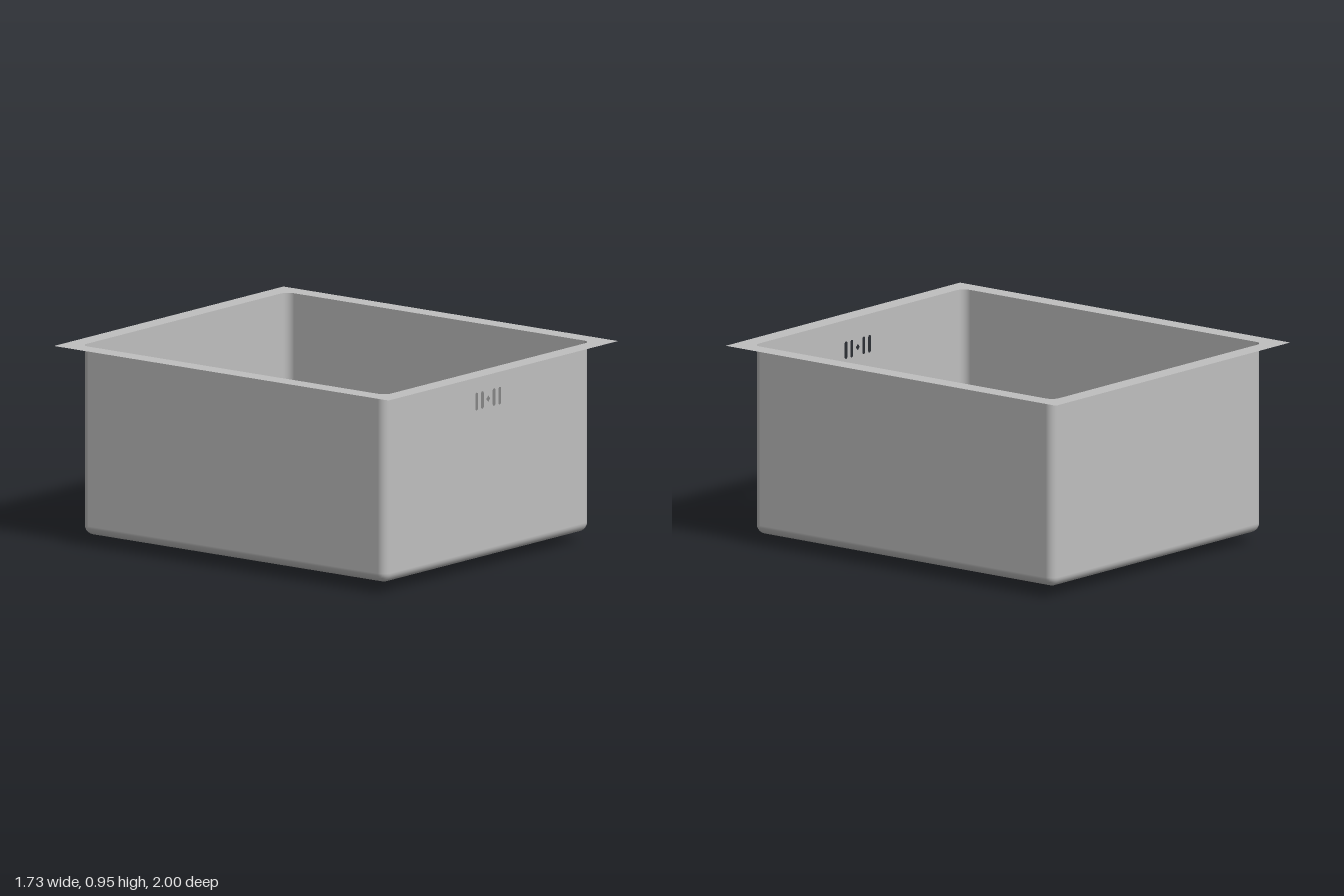
import * as THREE from 'three';

const W = 0.775, D = 0.91;           // basin half width and half depth
const TOP = 0.955, BOTTOM = 0.05;    // rim and floor heights
const R = 0.045;                     // corner and floor fillet radius
const DRAIN_Z = 0.36, DRAIN_R = 0.217, DRAIN_SIDES = 14;

const steel = new THREE.MeshStandardMaterial({ color: 0xbfbfbf, side: THREE.DoubleSide });
steel.name = 'brushedSteel';

// Rounded rectangle outline, as points running from the +x +y corner
function cornerPoints(radius, steps = 6) {
  const pts = [];
  for (let c = 0; c < 4; c++) {
    const sx = c === 0 || c === 3 ? 1 : -1, sy = c < 2 ? 1 : -1;
    for (let i = 0; i <= steps; i++) {
      const a = (c + i / steps) * Math.PI / 2;
      pts.push({ x: sx * (W - R) + radius * Math.cos(a), z: sy * (D - R) + radius * Math.sin(a), a });
    }
  }
  return pts;
}

function rectShape(x0, y0, x1, y1) {
  return new THREE.Shape([[x0, y0], [x1, y0], [x1, y1], [x0, y1]].map(p => new THREE.Vector2(...p)));
}

function polygonPath(radius, sides, cx, cy) {
  const pts = [];
  for (let i = 0; i < sides; i++) {
    const a = i / sides * Math.PI * 2;
    pts.push(new THREE.Vector2(cx + radius * Math.sin(a), cy + radius * Math.cos(a)));
  }
  return pts;
}

// Basin sides: stacked rounded rectangles, leaving the flat front panel open
function basinSides() {
  const STEPS = 6, position = [], normal = [], index = [];
  const levels = [];
  for (let i = 0; i <= STEPS; i++) {
    const phi = (1 - i / STEPS) * Math.PI / 2;
    levels.push({ phi, y: BOTTOM + R - R * Math.sin(phi) });
  }
  levels.push({ phi: 0, y: TOP });
  for (const { phi, y } of levels) {
    for (const p of cornerPoints(R * Math.cos(phi))) {
      position.push(p.x, y, p.z);
      normal.push(Math.cos(p.a) * Math.cos(phi), -Math.sin(phi), Math.sin(p.a) * Math.cos(phi));
    }
  }
  const n = position.length / 3 / levels.length;
  for (let j = 0; j < levels.length - 1; j++) {
    for (let i = 0; i < n; i++) {
      if (j === levels.length - 2 && i === 6) continue;   // front panel opening
      const a = j * n + i, b = j * n + (i + 1) % n;
      index.push(a, a + n, b, b, a + n, b + n);
    }
  }
  const g = new THREE.BufferGeometry();
  g.setAttribute('position', new THREE.Float32BufferAttribute(position, 3));
  g.setAttribute('normal', new THREE.Float32BufferAttribute(normal, 3));
  g.setIndex(index);
  return g;
}

// Front panel pierced by the overflow slots
function frontPanel() {
  const shape = rectShape(-(W - R), BOTTOM + R, W - R, TOP);
  for (const x of [-0.087, -0.044, 0.044, 0.087]) {
    const slot = new THREE.Path(), r = 0.0105;
    slot.absarc(x, 0.842, r, 0, Math.PI);
    slot.absarc(x, 0.779, r, Math.PI, Math.PI * 2);
    slot.closePath();
    shape.holes.push(slot);
  }
  shape.holes.push(new THREE.Path(polygonPath(0.015, 4, 0, 0.81)));
  return new THREE.ShapeGeometry(shape, 6).translate(0, 0, D);
}

// Horizontal sheet, with the shape's y axis laid along z
function sheet(shape, y) {
  return new THREE.ShapeGeometry(shape, 8).rotateX(Math.PI / 2).translate(0, y, 0);
}

export function createModel() {
  const model = new THREE.Group();
  model.name = 'sink';
  const add = (name, geometry, parent = model) => {
    const mesh = new THREE.Mesh(geometry, steel);
    mesh.name = name;
    parent.add(mesh);
    return mesh;
  };
  const drainHole = () => new THREE.Path(polygonPath(DRAIN_R, DRAIN_SIDES, 0, DRAIN_Z));

  // Flat rim around the opening
  const rim = rectShape(-0.865, -1, 0.865, 1);
  rim.holes.push(new THREE.Path(cornerPoints(R).map(p => new THREE.Vector2(p.x, p.z))));
  add('rim', sheet(rim, TOP));

  // Basin
  add('basinSides', basinSides());
  add('frontPanel', frontPanel());
  const floor = rectShape(-(W - R), -(D - R), W - R, D - R);
  floor.holes.push(drainHole());
  add('basinFloor', sheet(floor, BOTTOM));

  // Drain: rounded collar, flat underside and inner wall
  const drain = new THREE.Group();
  drain.name = 'drain';
  model.add(drain);
  const collar = [];
  for (let i = 0; i <= 8; i++) {
    const a = i / 8 * Math.PI / 2;
    collar.push(new THREE.Vector2(0.255 + 0.05 * Math.sin(a), BOTTOM - BOTTOM * Math.cos(a)));
  }
  add('drainCollar', new THREE.LatheGeometry(collar, 28).translate(0, 0, DRAIN_Z), drain);
  const underside = new THREE.Shape(polygonPath(0.255, 28, 0, DRAIN_Z));
  underside.holes.push(drainHole());
  add('drainUnderside', sheet(underside, 0), drain);
  add('drainWall', new THREE.CylinderGeometry(DRAIN_R, DRAIN_R, BOTTOM, DRAIN_SIDES, 1, true)
    .translate(0, BOTTOM / 2, DRAIN_Z), drain);

  return model;
}
